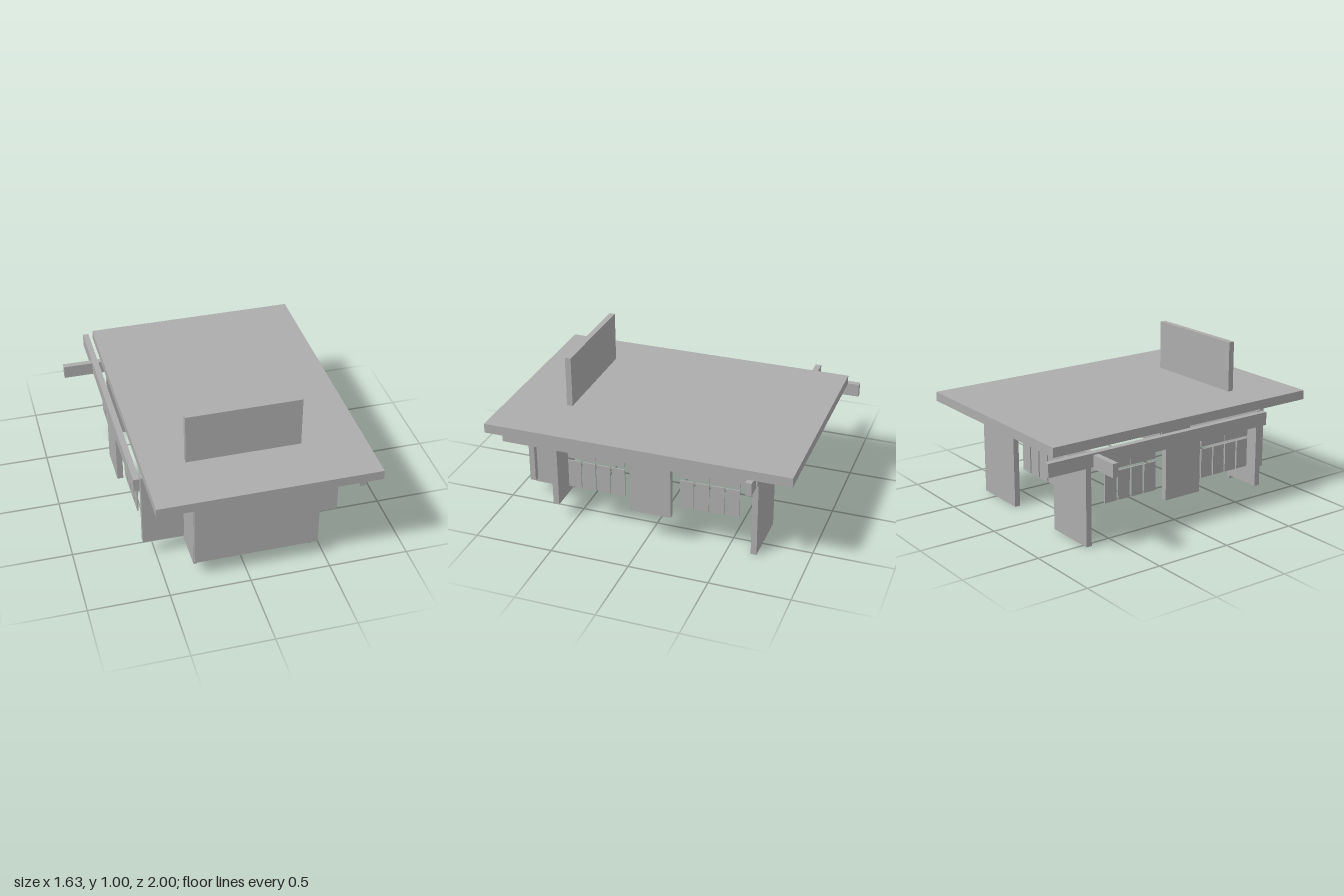
import * as THREE from 'three';

export function createModel() {
  const model = new THREE.Group();
  model.name = 'pavilion';
  const grey = new THREE.MeshStandardMaterial({ color: 0xacacac });
  grey.name = 'plain grey';

  // Box given by its extents along each axis
  function slab(name, [x0, x1], [y0, y1], [z0, z1]) {
    const mesh = new THREE.Mesh(new THREE.BoxGeometry(x1 - x0, y1 - y0, z1 - z0), grey);
    mesh.name = name;
    mesh.position.set((x0 + x1) / 2, (y0 + y1) / 2, (z0 + z1) / 2);
    model.add(mesh);
  }

  // Flat roof and the tall board rising through it
  slab('roof', [-0.57, 0.8], [0.62, 0.68], [-0.93, 1]);
  slab('chimneyBoard', [-0.305, 0.41], [0.51, 1.005], [0.587, 0.625]);

  // Projecting beams
  slab('leftBeam', [-0.625, -0.587], [0.53, 0.615], [-1, 0.63]);
  slab('rightBeam', [0.68, 0.718], [0.53, 0.615], [-0.7, 0.925]);
  slab('crossBeam', [-0.815, 0.812], [0.52, 0.604], [-0.693, -0.655]);

  // Front bay: outer wall, two cheeks, and a wing wall on each side
  slab('frontWall', [-0.32, 0.455], [0.115, 0.617], [0.85, 0.887]);
  slab('leftCheek', [0.4, 0.42], [0.088, 0.617], [0.6, 0.865]);
  slab('rightCheek', [-0.322, -0.302], [0.088, 0.617], [0.6, 0.865]);
  slab('leftWingWall', [0.41, 0.67], [0.115, 0.617], [0.589, 0.627]);
  slab('rightWingWall', [-0.58, -0.31], [0.115, 0.617], [0.589, 0.627]);

  // Rear walls and middle side walls
  slab('rearWallLeft', [0.267, 0.632], [0, 0.505], [-0.685, -0.648]);
  slab('rearWallRight', [-0.535, -0.19], [0, 0.505], [-0.685, -0.648]);
  slab('sideWallLeft', [0.68, 0.718], [0.205, 0.53], [-0.167, 0.093]);
  slab('sideWallRight', [-0.625, -0.587], [0.205, 0.53], [-0.167, 0.093]);

  // A window bay: four panes under two transoms, running along x or z
  function windowBay(start, place) {
    for (let i = 0; i < 4; i++) {
      const a = start + i * 0.0955;
      place('windowPane', [0.27, 0.455], [a, a + 0.084]);
    }
    for (let i = 0; i < 2; i++) {
      const a = start + i * 0.187;
      place('transomPane', [0.472, 0.52], [a, a + 0.184]);
    }
  }
  for (const x of [0.672, -0.58]) {
    for (const start of [0.14, -0.585]) {
      windowBay(start, (name, y, z) => slab(name, [x - 0.004, x + 0.004], y, z));
    }
  }
  windowBay(-0.175, (name, y, x) => slab(name, x, y, [-0.66, -0.652]));

  return model;
}
